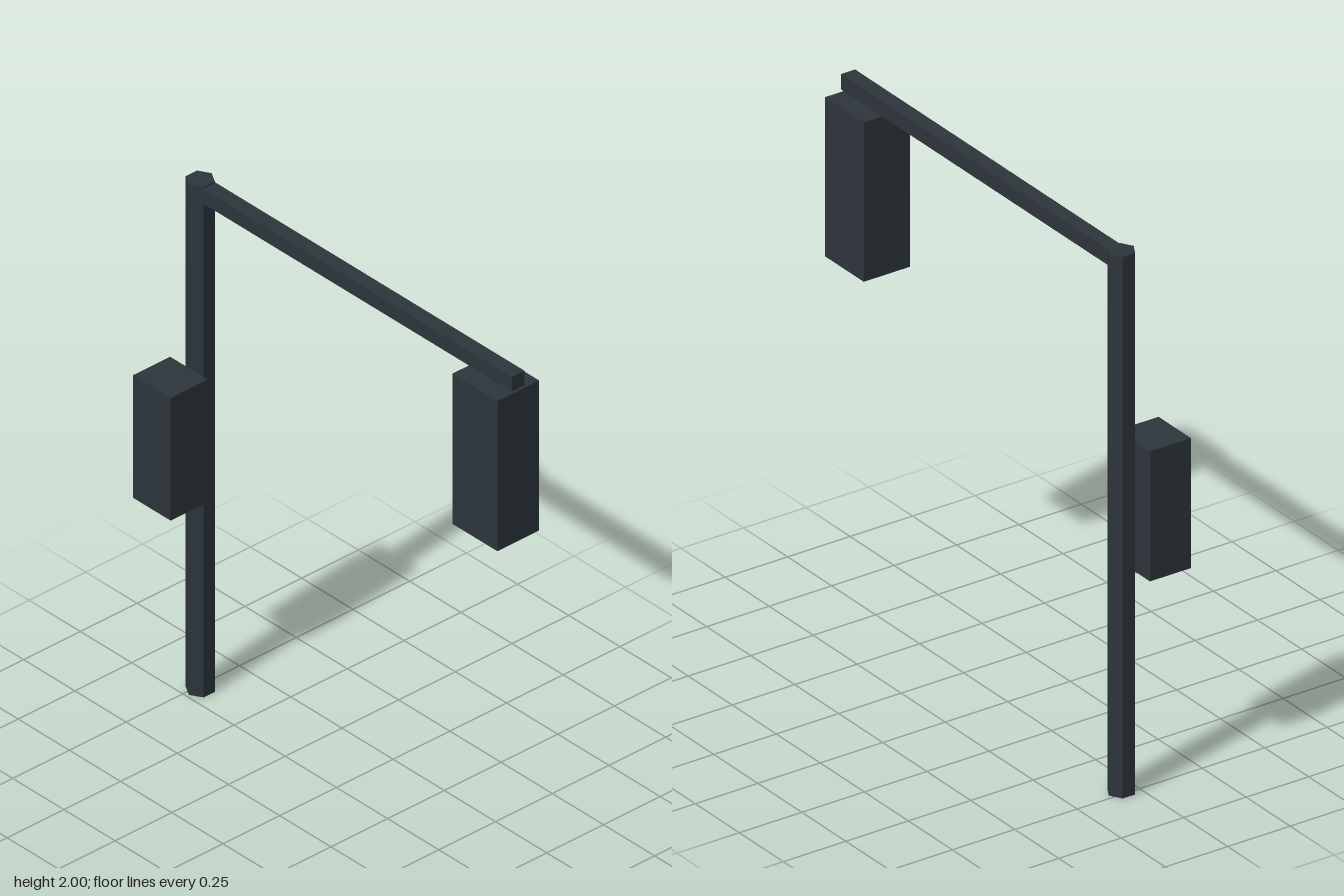
import * as THREE from 'three';

export function createModel() {
  const group = new THREE.Group();
  const darkMetal = new THREE.MeshStandardMaterial({ color: 0x2d353b, flatShading: true });
  darkMetal.name = 'dark metal';

  const add = (name, geometry, x, y, z) => {
    const mesh = new THREE.Mesh(geometry, darkMetal);
    mesh.name = name;
    mesh.position.set(x, y, z);
    group.add(mesh);
  };
  // Box given by its lower and upper limits on each axis
  const addBox = (name, [x0, x1], [y0, y1], [z0, z1]) =>
    add(name, new THREE.BoxGeometry(x1 - x0, y1 - y0, z1 - z0),
      (x0 + x1) / 2, (y0 + y1) / 2, (z0 + z1) / 2);

  // Hexagonal upright with a corner facing front
  add('pole', new THREE.CylinderGeometry(0.05, 0.05, 2, 6), -0.732, 1, -0.061);

  // Horizontal arm, starting inside the pole
  addBox('arm', [-0.732, 0.82], [1.937, 1.994], [-0.089, -0.033]);

  // Housing under the far end of the arm
  addBox('hangingBox', [0.6, 0.82], [1.34, 1.928], [-0.153, 0.031]);

  // Cabinet on the front of the pole
  addBox('poleCabinet', [-0.824, -0.64], [0.8, 1.28], [-0.011, 0.153]);

  return group;
}
